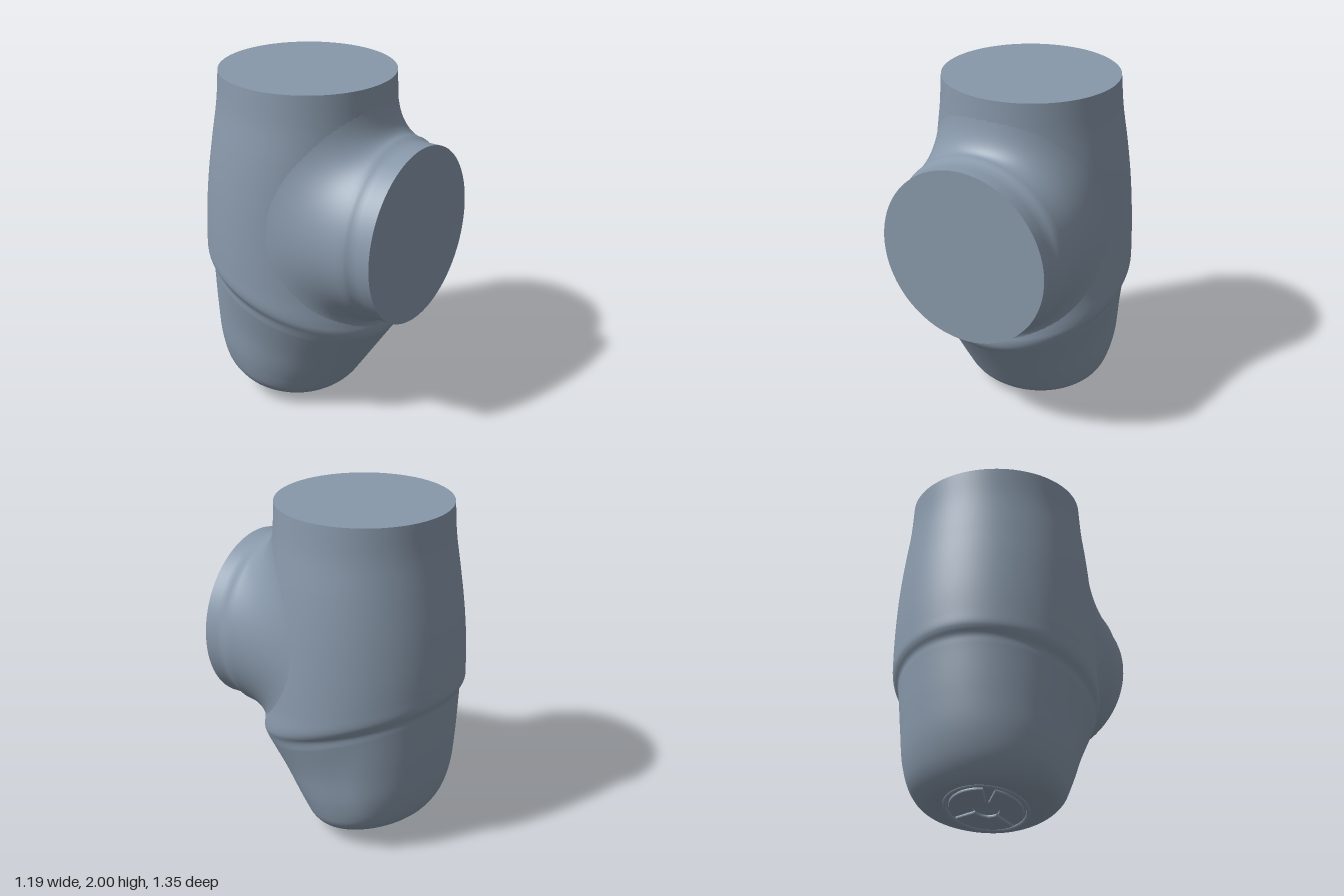
import * as THREE from 'three';

const material = new THREE.MeshStandardMaterial({ color: 0x8898aa, side: THREE.DoubleSide });

// Body sections from top to bottom: [front z, front y, back z, back y, half width]
const sections = [
  [0.42, 2, -0.585, 2, 0.505], [0.425, 1.82, -0.595, 1.82, 0.52],
  [0.44, 1.6, -0.625, 1.6, 0.55], [0.455, 1.36, -0.652, 1.4, 0.572],
  [0.47, 1.0, -0.67, 1.2, 0.588], [0.48, 0.75, -0.675, 1.04, 0.594],
  [0.5, 0.62, -0.675, 0.97, 0.595], [0.507, 0.575, -0.668, 0.945, 0.586],
  [0.5, 0.53, -0.65, 0.91, 0.565], [0.46, 0.47, -0.645, 0.86, 0.555],
  [0.36, 0.32, -0.63, 0.61, 0.525], [0.25, 0.155, -0.605, 0.39, 0.492],
  [0.2, 0.085, -0.565, 0.25, 0.458], [0.14, 0.035, -0.515, 0.165, 0.39],
  [0.08, 0.012, -0.465, 0.125, 0.3], [0.02, 0.012, -0.42, 0.122, 0.23],
  [-0.2, 0.07, -0.2, 0.07, 0],
];
const frontLine = new THREE.CatmullRomCurve3(sections.map(s => new THREE.Vector3(s[4], s[1], s[0])));
const backLine = new THREE.CatmullRomCurve3(sections.map(s => new THREE.Vector3(s[4], s[3], s[2])));
const smooth = THREE.MathUtils.smoothstep;

// Point on the body: t runs top to bottom, angle runs from the front toward +x
function bodyPoint(t, angle) {
  const f = frontLine.getPoint(t), b = backLine.getPoint(t);
  const p = f.clone().lerp(b, (1 - Math.cos(angle)) / 2);
  // slightly flattened front flanks on the lower cup
  const flank = 0.035 * smooth(t, 0.55, 0.63) * (1 - smooth(t, 0.72, 0.82)) * smooth(p.z, -0.42, -0.2);
  p.x = f.x * Math.sin(angle) * (1 - flank);
  return p;
}

function bodyAtHeight(y, angle) {
  let lo = 0, hi = 0.9;
  for (let i = 0; i < 24; i++) {
    const mid = (lo + hi) / 2;
    if (bodyPoint(mid, angle).y > y) lo = mid; else hi = mid;
  }
  return bodyPoint(lo, angle);
}

// Smooth closed tube from rings of points
function loft(rows, cols, pointAt) {
  const positions = [], index = [];
  for (let i = 0; i <= rows; i++) {
    for (let j = 0; j < cols; j++) {
      positions.push(...pointAt(i / rows, (j / cols) * Math.PI * 2).toArray());
      if (i === rows) continue;
      const k = (j + 1) % cols, a = i * cols, b = a + cols;
      index.push(a + j, b + j, b + k, a + j, b + k, a + k);
    }
  }
  const g = new THREE.BufferGeometry();
  g.setAttribute('position', new THREE.Float32BufferAttribute(positions, 3));
  g.setIndex(index);
  g.computeVertexNormals();
  return g;
}

// Front port: straight collar, slight flare, then a fillet that lands on the body
const PORT_Y = 1.165, PORT_R = 0.512, PORT_Z = 0.675;
function portPoint(t, a) {
  const c = Math.cos(a), s = Math.sin(a);
  const ring = (r, z) => new THREE.Vector3(r * c, PORT_Y + r * s, z);
  if (t === 0) return ring(PORT_R, PORT_Z);
  if (t < 0.25) {
    const u = (t - 0.05) / 0.2;
    return ring(PORT_R + 0.022 * u * u, 0.6 - 0.08 * u);
  }
  const start = ring(PORT_R + 0.022, 0.52);
  const ease = v => Math.sign(v) * Math.abs(v) ** 0.85;
  const land = bodyAtHeight(PORT_Y + (s > 0 ? 0.74 * ease(s) : 0.58 * s), 1.48 * ease(c));
  land.x *= 0.996;
  land.z -= 0.002;
  const corner = bodyAtHeight(start.y, Math.asin(start.x / 0.595));
  corner.set(start.x * 1.015, start.y, Math.min(corner.z + 0.012, 0.515));
  return new THREE.QuadraticBezierCurve3(start, corner, land).getPoint((t - 0.25) / 0.75);
}

export function createModel() {
  const group = new THREE.Group();
  const add = (name, geometry, parent = group) => {
    const mesh = new THREE.Mesh(geometry, material);
    mesh.name = name;
    parent.add(mesh);
    return mesh;
  };

  add('body', loft(128, 96, bodyPoint));
  add('frontPort', loft(20, 96, portPoint));

  // Flat end faces
  const portFace = add('portFace', new THREE.CircleGeometry(PORT_R, 96));
  portFace.position.set(0, PORT_Y, PORT_Z);
  const topFace = add('topFace', new THREE.CircleGeometry(1, 96));
  topFace.scale.set(0.505, 0.5025, 1);
  topFace.rotation.x = -Math.PI / 2;
  topFace.position.set(0, 2, -0.0825);

  // Shallow relief on the tilted underside: a rim and raised pads
  const base = new THREE.Group();
  base.name = 'undersideRelief';
  base.position.set(0, 0.068, -0.2);
  base.rotation.x = Math.PI / 2 + 0.25;
  group.add(base);
  add('undersideRim', new THREE.TorusGeometry(0.23, 0.012, 8, 64), base);
  for (let i = 0; i < 3; i++) {
    const from = i * Math.PI * 2 / 3 + 0.2, to = from + 1.7;
    const shape = new THREE.Shape();
    shape.absarc(0, 0, 0.2, from, to, false);
    shape.absarc(0, 0, 0.08, to, from, true);
    add('undersidePad', new THREE.ExtrudeGeometry(shape, {
      depth: 0.008, bevelSize: 0.008, bevelThickness: 0.008, bevelSegments: 2, curveSegments: 16,
    }), base);
  }
  return group;
}
